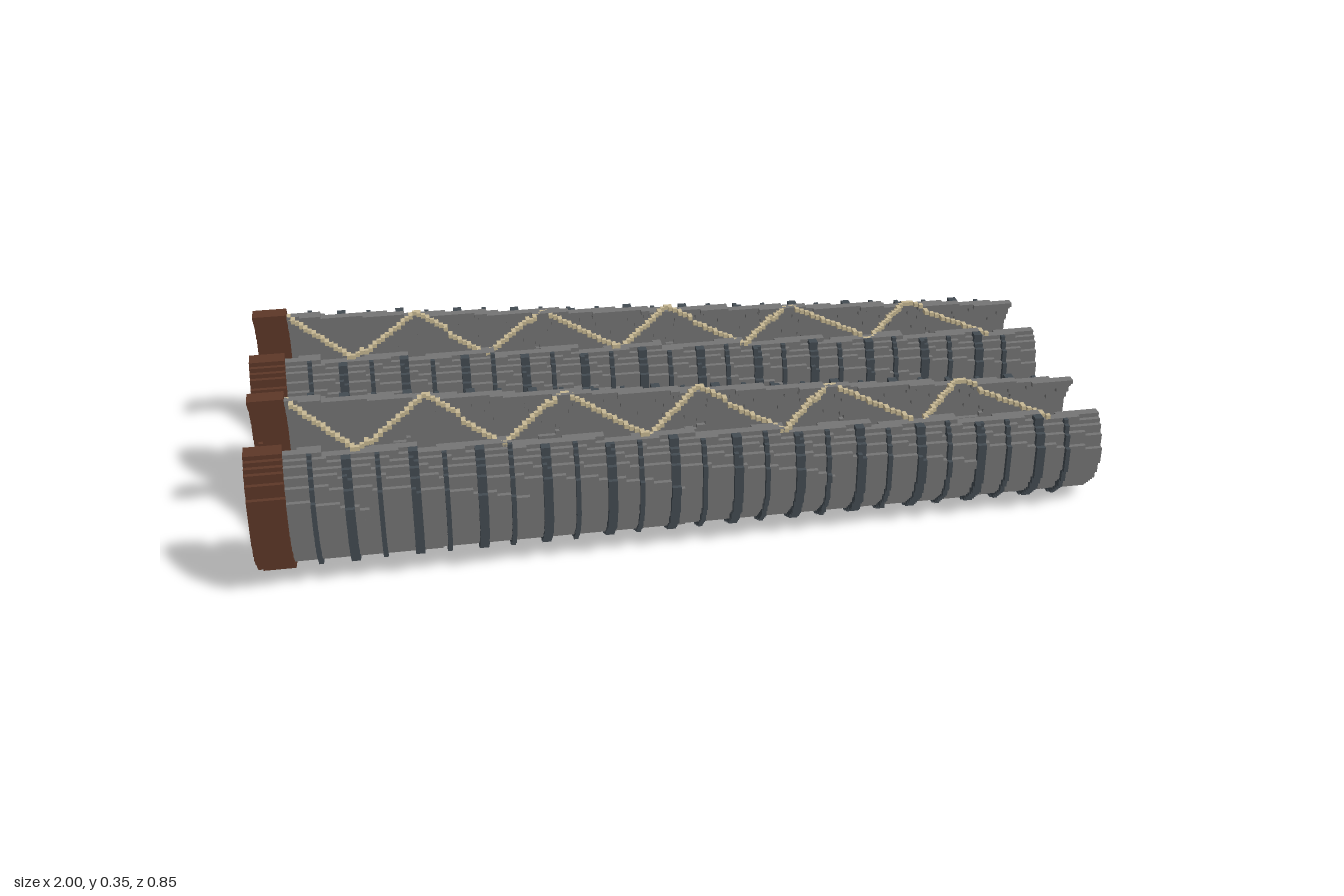
import * as THREE from 'three';
import { mergeGeometries } from 'three/addons/utils/BufferGeometryUtils.js';

const N = 190;            // cells along the length
const S = 2 / N;          // cell size
const OFFSET = 0.2255;    // distance of each tube axis from the middle
const CUFF_CELLS = 8;

const material = (name, color) => {
  const m = new THREE.MeshStandardMaterial({ color });
  m.name = name;
  return m;
};

const lerp = THREE.MathUtils.lerp;
const xAt = (i) => -1 + (i + 0.5) * S;

// Tapered section at a cell index: radius, axis height and height of the open top
function section(i) {
  const t = i / (N - 1);
  return { r: lerp(0.192, 0.133, t), cy: lerp(0.205, 0.146, t), rim: lerp(0.34, 0.24, t) };
}

// Raised rings every seven cells, alternately two cells and one cell wide
function isBand(i) {
  const n = Math.floor((i - 20) / 7);
  const rest = (i - 20) - n * 7;
  return i >= 13 && i < N - 6 && rest < (n % 2 === 0 ? 2 : 1);
}

// Which part, if any, fills a cell of the tube
function partAt(i, y, z) {
  const { r, cy, rim } = section(i);
  const d = Math.hypot(y - cy, z);
  if (i < CUFF_CELLS) {
    return d < 0.2045 && d > r - 0.018 && y < 0.348 ? 'cuff' : null;
  }
  if (y > rim || d < r - 0.018) return null;
  if (d < r) return 'shell';
  return d < r + S && isBand(i) ? 'bands' : null;
}

// Box covering a run of cells along x, and w cells along z
function cellBox(i0, i1, y, z, w = 1) {
  const g = new THREE.BoxGeometry((i1 - i0) * S, S, w * S);
  g.translate(-1 + (i0 + i1) / 2 * S, y, z);
  return g;
}

function tubeGeometries() {
  const parts = { cuff: [], shell: [], bands: [] };
  for (let j = 0; j < 34; j++) {
    for (let k = -20; k < 20; k++) {
      const y = (j + 0.5) * S, z = (k + 0.5) * S;
      let start = 0, current = partAt(0, y, z);
      for (let i = 1; i <= N; i++) {
        const next = i < N ? partAt(i, y, z) : null;
        if (next === current && i < N) continue;
        if (current) parts[current].push(cellBox(start, i, y, z));
        start = i;
        current = next;
      }
    }
  }
  return parts;
}

// Zigzag lace resting on the rim, stepped cell by cell
function laceGeometries() {
  const boxes = [];
  const first = 8, last = 178, legs = 11;
  const zAt = (i) => {
    const u = (i - first) / (last - first) * legs;
    const f = u % 1;
    const tri = Math.floor(u) % 2 === 0 ? f : 1 - f;
    return (tri * 2 - 1) * lerp(0.132, 0.103, (i - first) / (last - first));
  };
  for (let i = first; i < last; i++) {
    const a = Math.round(zAt(i) / S), b = Math.round(zAt(i + 1) / S);
    const lo = Math.min(a, b), hi = Math.max(a, b, lo + 1);
    const y = (Math.floor(section(i).rim / S) + 0.5) * S;
    boxes.push(cellBox(i, i + 1, y, (lo + hi) / 2 * S, hi - lo));
  }
  return boxes;
}

export function createModel() {
  const model = new THREE.Group();
  model.name = 'pairOfBracers';

  const brown = material('brown leather', 0x5e3828);
  const mats = {
    cuff: brown,
    shell: material('grey plate', 0x757575),
    bands: material('dark slate', 0x434b52),
    lace: material('tan cord', 0xc8b994),
  };

  const parts = { ...tubeGeometries(), lace: laceGeometries() };
  const merged = {};
  for (const name in parts) merged[name] = mergeGeometries(parts[name]);

  for (const side of [1, -1]) {
    const bracer = new THREE.Group();
    bracer.name = side > 0 ? 'frontBracer' : 'backBracer';
    bracer.position.z = side * OFFSET;
    for (const name in merged) {
      const mesh = new THREE.Mesh(merged[name], mats[name]);
      mesh.name = name;
      bracer.add(mesh);
    }
    // Small stud on the inner side of the cuff
    const stud = new THREE.Mesh(new THREE.BoxGeometry(CUFF_CELLS * S, 2 * S, S), brown);
    stud.name = 'cuffStud';
    stud.position.set(-1 + CUFF_CELLS * S / 2, 20 * S, -side * 19.5 * S);
    bracer.add(stud);
    model.add(bracer);
  }
  return model;
}
